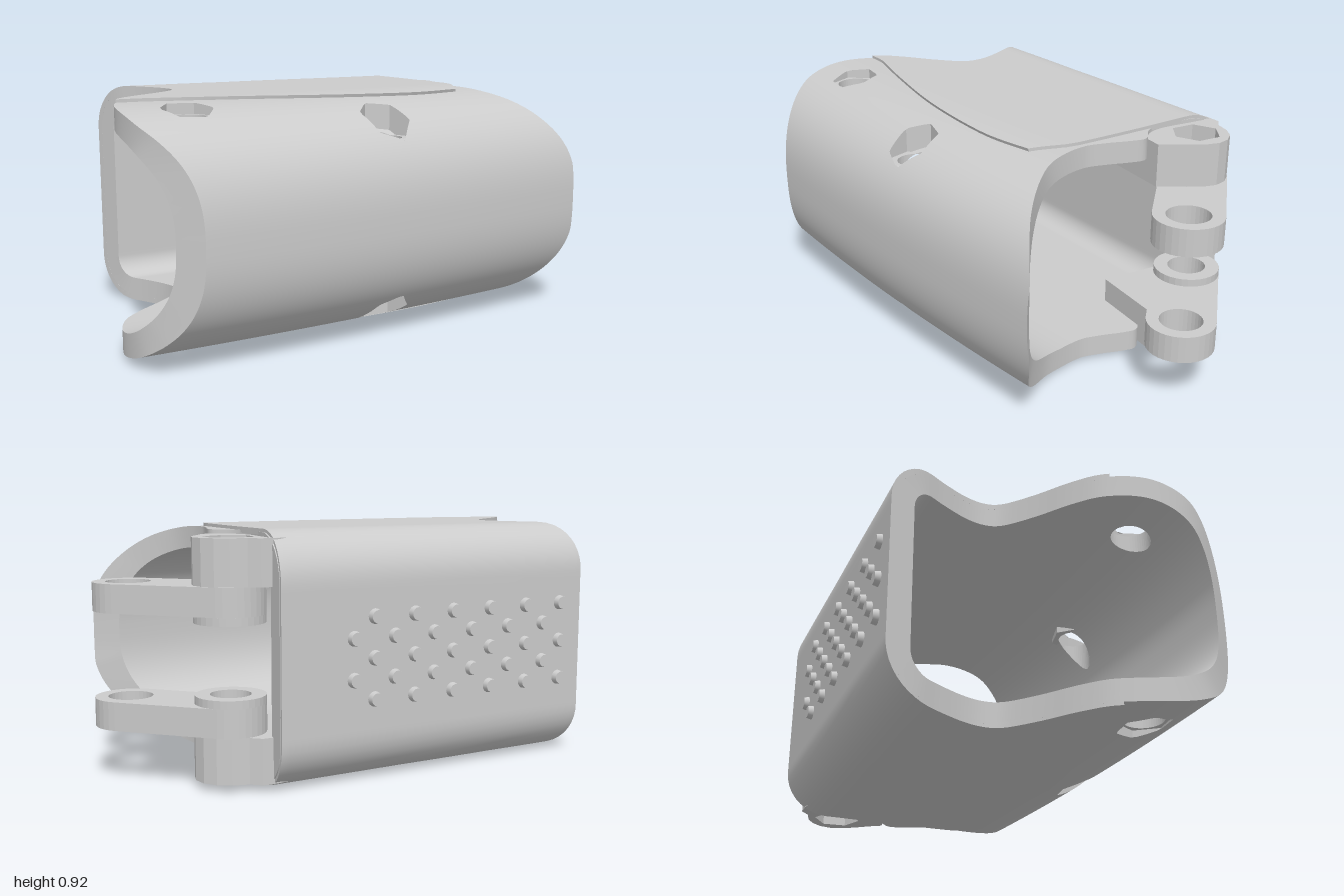
import * as THREE from 'three';
import { mergeGeometries } from 'three/addons/utils/BufferGeometryUtils.js';

const MID = 0.46, H = 0.448, A = 0.52, N = 2.6, R = 0.17;
const mat = new THREE.MeshStandardMaterial({ color: 0xcccccc, side: THREE.DoubleSide });

// smooth curve through [key, value] points, looked up by key
function curve(points) {
  const p = new THREE.SplineCurve(points.map(q => new THREE.Vector2(...q))).getPoints(150);
  return k => {
    if (k <= p[0].x) return p[0].y;
    const i = p.findIndex(q => q.x >= k);
    if (i < 1) return p[p.length - 1].y;
    const t = (k - p[i - 1].x) / (p[i].x - p[i - 1].x || 1);
    return p[i - 1].y + t * (p[i].y - p[i - 1].y);
  };
}

// sleeve walls along x, and end outlines by z
const zFront = x => 0.61 - 0.17 * x - 0.04 * x * x;
const zBack = x => -0.655 - 0.12 * x;
const leftEnd = curve([[-0.57, -0.88], [-0.45, -0.82], [-0.35, -0.75], [-0.25, -0.69], [-0.17, -0.665], [-0.1, -0.68],
  [0, -0.77], [0.1, -0.88], [0.2, -0.96], [0.35, -1], [0.5, -0.98], [0.6, -0.92], [0.72, -0.8]]);
const rightEnd = curve([[-0.75, 0.46], [-0.55, 0.46], [-0.4, 0.46], [-0.32, 0.49], [-0.26, 0.56], [-0.2, 0.56], [-0.1, 0.535],
  [0, 0.525], [0.15, 0.575], [0.25, 0.65], [0.35, 0.76], [0.42, 0.88]]);
const coverEnd = curve([[-0.75, 0.46], [-0.55, 0.455], [-0.3, 0.48], [-0.05, 0.5], [0.05, 0.5], [0.18, 0.45], [0.3, 0.41]]);
const coverEdge = curve([[-1, 0.19], [-0.6, 0.24], [-0.2, 0.265], [0.2, 0.24], [0.45, 0.18]]);

// half cross-section: t = 0 at the middle of the back, 1 at the middle of the front
function half(t, x, d) {
  const h = H - d, r = R - d, zb = zBack(x) + d, z0 = zFront(x) - A;
  if (t < 0.16) return [(h - r) * t / 0.16, zb];
  if (t < 0.28) {
    const a = (t - 0.16) / 0.12 * Math.PI / 2;
    return [h - r + r * Math.sin(a), zb + r - r * Math.cos(a)];
  }
  if (t < 0.6) return [h, THREE.MathUtils.lerp(zb + r, z0, (t - 0.28) / 0.32)];
  const a = Math.min((t - 0.6) / 0.4, 1) * Math.PI / 2;
  return [h * Math.max(Math.cos(a), 0) ** (2 / N), z0 + (A - d) * Math.sin(a) ** (2 / N)];
}
// height of the upper surface at a plan position
function topY(x, z, d) {
  const q = Math.max(z - zFront(x) + A, 0) / (A - d);
  return MID + (H - d) * Math.max(1 - q ** N, 0) ** (1 / N);
}
const sleeveSection = (s, x, d) => {
  const t = s * 2, [y, z] = half(t <= 1 ? t : 2 - t, x, d);
  return [MID + (t <= 1 ? y : -y), z];
};
const coverSection = (s, x, d) => {
  const q = Math.max(coverEdge(x) - zFront(x) + A, 0) / A;
  const tMax = 0.6 + 0.4 * Math.asin(q ** (N / 2)) / (Math.PI / 2);
  const t = (s * 2 - 1) * tMax, [y, z] = half(Math.abs(t), x, d);
  return [MID + Math.sign(t) * y, z];
};

// screw holes: hexagonal recess outside, round bore inside
const holes = [{ x: -0.755, z: 0.385, turn: 0, floor: 0.865, bore: 0.075 },
  { x: -0.005, z: 0.435, turn: 0.12, floor: 0.76, bore: 0.066 }];
function hexRadius(angle, turn) {
  const k = Math.PI / 3, a = (((angle - turn) % k) + k) % k;
  return 0.0866 / Math.cos(a - k / 2);
}

function patch(rows, flip, skip) {
  const n = rows[0].length, index = [];
  for (let i = 0; i + 1 < rows.length; i++) for (let j = 0; j + 1 < n; j++) {
    const a = i * n + j, b = a + n, c = a + 1, d = b + 1;
    if (skip && [a, b, c, d].every(v => skip.has(v))) continue;
    index.push(...(flip ? [a, c, b, b, c, d] : [a, b, c, b, d, c]));
  }
  const g = new THREE.BufferGeometry();
  g.setAttribute('position', new THREE.Float32BufferAttribute(rows.flat(2), 3));
  g.setIndex(index);
  g.computeVertexNormals();
  return g;
}

// thick skin between two insets of a cross-section, trimmed by both end outlines
function thickSkin(section, end, dOut, dIn, ns, nu, cut) {
  const skin = (d, inner) => {
    const rows = [], inside = new Set();
    for (let i = 0; i <= ns; i++) {
      const row = [];
      for (let j = 0; j <= nu; j++) {
        let x = 0, y = 0, z = 0;
        for (let k = 0; k < 12; k++) {
          [y, z] = section(i / ns, x, d);
          x = THREE.MathUtils.lerp(leftEnd(z), end(z), j / nu);
        }
        [y, z] = section(i / ns, x, d);
        for (const o of cut) {
          const a = Math.atan2(z - o.z, x - o.x), r = inner ? o.bore : hexRadius(a, o.turn);
          if (Math.hypot(x - o.x, z - o.z) >= r) continue;
          inside.add(i * (nu + 1) + j);
          x = o.x + r * Math.cos(a);
          z = o.z + r * Math.sin(a);
          y = MID + Math.sign(y - MID) * (topY(x, z, d) - MID);
        }
        row.push([x, y, z]);
      }
      rows.push(row);
    }
    return { rows, inside };
  };
  const o = skin(dOut, false), n = skin(dIn, true);
  const parts = [patch(o.rows, false, o.inside), patch(n.rows, true, n.inside)];
  for (const j of [0, nu]) parts.push(patch(o.rows.map((r, i) => [r[j], n.rows[i][j]]), j === 0));
  for (const i of [0, ns]) parts.push(patch([o.rows[i], n.rows[i]], i === 0));
  return mergeGeometries(parts);
}

function holeLining(o, side) {
  const rows = [[], [], [], []];
  for (let i = 0; i <= 48; i++) {
    const a = o.turn + i / 48 * Math.PI * 2, r = hexRadius(a, o.turn);
    const at = q => [o.x + q * Math.cos(a), o.z + q * Math.sin(a)];
    const [hx, hz] = at(r), [bx, bz] = at(o.bore), top = topY(hx, hz, 0);
    const put = (k, x, y, z) => rows[k].push([x, MID + side * (y - MID), z]);
    put(0, hx, top, hz);
    put(1, hx, Math.min(o.floor, top), hz);
    put(2, bx, Math.min(o.floor, topY(bx, bz, 0)), bz);
    put(3, bx, topY(bx, bz, 0.085), bz);
  }
  const g = patch(rows, side > 0).toNonIndexed();
  g.computeVertexNormals();
  return g;
}

// plan outline raised from y0 to y1, on the upper or lower side
function slab(shape, y0, y1, side) {
  const g = new THREE.ExtrudeGeometry(shape, { depth: y1 - y0, bevelEnabled: false, curveSegments: 20 });
  g.rotateX(-Math.PI / 2);
  return g.translate(0, side > 0 ? y0 : 2 * MID - y1, 0);
}
const ring = (x, z, r, n = 32, turn = 0) => new THREE.Path(Array.from({ length: n }, (_, i) => {
  const a = turn + i / n * Math.PI * 2;
  return new THREE.Vector2(x + r * Math.cos(a), -z + r * Math.sin(a));
}));
function outline(points, ...cuts) {
  const s = new THREE.Shape(points);
  s.holes.push(...cuts);
  return s;
}

export function createModel() {
  const group = new THREE.Group();
  const add = (name, g) => {
    const m = new THREE.Mesh(g, mat);
    m.name = name;
    group.add(m);
    return m;
  };
  add('sleeve', thickSkin(sleeveSection, rightEnd, 0, 0.085, 200, 90, holes));
  add('raisedCover', thickSkin(coverSection, coverEnd, -0.012, 0.01, 100, 40, []));

  // hinge ears and link arms
  const hx = 0.565, hz = -0.485, ex = 0.87, ez = -0.23, r = 0.13;
  const ear = [[0.3, -0.6], [0.44, -0.64], [0.5, -0.645], [0.54, -0.615], [0.6, -0.605], [0.65, -0.58], [0.685, -0.54], [0.7, -0.49],
    [0.69, -0.44], [0.66, -0.38], [0.63, -0.33], [0.605, -0.28], [0.3, -0.28]].map(([x, z]) => new THREE.Vector2(x, -z));
  const dir = Math.atan2(hz - ez, ex - hx), arm = [];
  for (let i = 0; i <= 32; i++) {
    const far = i <= 16, a = dir - Math.PI / 2 + (far ? i : i - 1) / 16 * Math.PI;
    arm.push(new THREE.Vector2((far ? ex : hx) + r * Math.cos(a), -(far ? ez : hz) + r * Math.sin(a)));
  }
  const bore = () => ring(hx, hz, 0.075);
  for (const side of [1, -1]) {
    const tag = side > 0 ? 'upper' : 'lower';
    for (const o of holes) add(tag + 'ScrewHole', holeLining(o, side));
    add(tag + 'EarOuter', slab(outline(ear, ring(hx, hz, 0.095, 6, Math.PI / 6)), 0.82, 0.893, side));
    add(tag + 'EarInner', slab(outline(ear, bore()), 0.725, 0.82, side));
    add(tag + 'LinkArm', slab(outline(arm, bore(), ring(ex, ez, 0.082)), 0.62, 0.725, side));
    add(tag + 'HingeBoss', slab(outline(ring(hx, hz, r).getPoints(), bore()), 0.59, 0.62, side));
  }

  // staggered grip studs on the back
  for (let c = 0; c < 12; c++) {
    const x = 0.17 - c * 0.0855;
    for (const y of c % 2 ? [-0.15, 0, 0.15] : [-0.075, 0.075]) {
      const stud = add('gripStud', new THREE.CylinderGeometry(0.024, 0.031, 0.034, 16));
      stud.position.set(x, MID + y, zBack(x) - 0.016);
      stud.rotation.set(-Math.PI / 2, 0, 0.12);
    }
  }
  return group;
}
